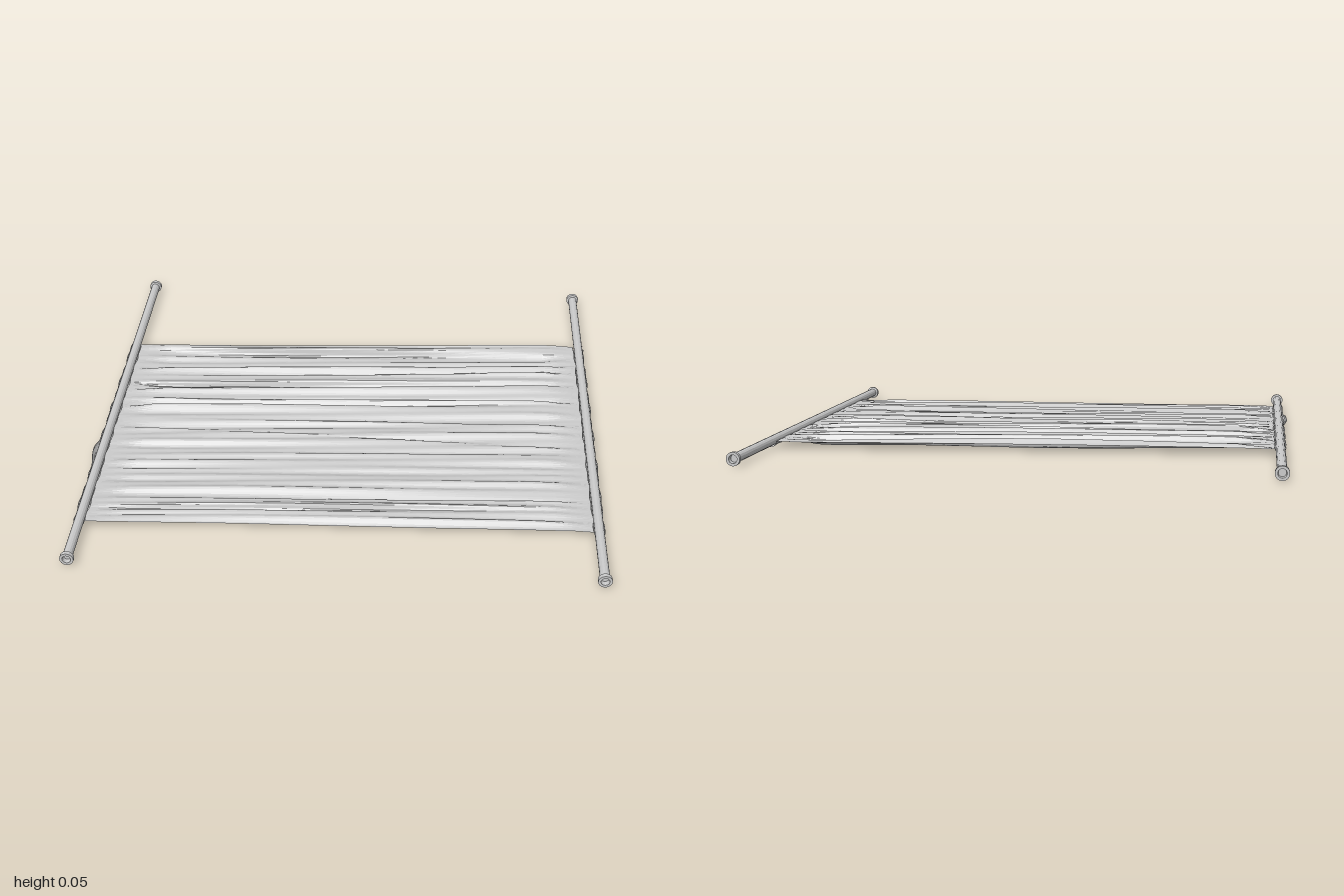
import * as THREE from 'three';

const POLE_Y = 0.055, LEFT_X = 0.967, RIGHT_X = -0.957;

// Each crease: position across the cloth at the -x end and the +x end, height, width
const CREASES = [
  [0.03, 0.06, -0.018, 0.016], [0.16, 0.13, 0.034, 0.016], [0.20, 0.172, 0.03, 0.014],
  [0.245, 0.23, -0.026, 0.013], [0.285, 0.25, 0.03, 0.014], [0.335, 0.35, 0.03, 0.013],
  [0.385, 0.365, 0.034, 0.014], [0.45, 0.48, 0.018, 0.016], [0.50, 0.605, 0.008, 0.02],
  [0.73, 0.735, 0.014, 0.016], [0.885, 0.865, 0.026, 0.013], [0.925, 0.91, -0.016, 0.014],
  [0.97, 0.965, 0.012, 0.014]
];

function pole(x, name) {
  // Rod with a collar and a recessed mouth at each end
  const half = [[0.018, 0], [0.018, 0.945], [0.026, 0.947], [0.026, 0.963], [0.016, 0.963], [0.014, 0.945], [0, 0.945]];
  const pts = half.slice(1).reverse().map(([r, y]) => new THREE.Vector2(r, -y))
    .concat(half.map(([r, y]) => new THREE.Vector2(r, y)));
  const geo = new THREE.LatheGeometry(pts, 14);
  const mesh = new THREE.Mesh(geo, new THREE.MeshStandardMaterial({ color: 0xcccccc, flatShading: true }));
  mesh.rotation.x = Math.PI / 2;
  mesh.position.set(x, POLE_Y, 0);
  mesh.name = name;
  return mesh;
}

// Outline of the two free edges of the cloth, as curves over x
function edgeCurve(points) {
  const curve = new THREE.SplineCurve(points.map(p => new THREE.Vector2(...p)));
  const samples = curve.getPoints(80);
  return x => {
    let i = 1;
    while (i < samples.length - 1 && samples[i].x < x) i++;
    const a = samples[i - 1], b = samples[i];
    return THREE.MathUtils.lerp(a.y, b.y, THREE.MathUtils.clamp((x - a.x) / (b.x - a.x), 0, 1));
  };
}
const backEdge = edgeCurve([[-1, -0.46], [-0.8, -0.462], [-0.4, -0.48], [0, -0.505], [0.4, -0.53], [0.8, -0.56], [1, -0.547]]);
const frontEdge = edgeCurve([[-1, 0.75], [-0.8, 0.74], [-0.4, 0.718], [0, 0.705], [0.4, 0.695], [0.8, 0.687], [1, 0.70]]);

// Height and sideways lap of the folds at x and fraction v across the cloth
function folds(x, v) {
  const t = (x + 1) / 2;
  const grip = THREE.MathUtils.smoothstep(0.945 - Math.abs(x), 0, 0.17);
  let y = 0.005 * Math.sin(v * 47 + t * 2) + 0.004 * Math.sin(v * 101 - t * 3) + 0.003 * Math.sin(v * 173 + t * 4);
  let lap = 0;
  CREASES.forEach(([a, b, h, w], i) => {
    const d = (v - THREE.MathUtils.lerp(a, b, t)) / w;
    const along = 0.65 + 0.35 * Math.sin(i * 2.3 + t * 4);
    const bell = Math.exp(-d * d);
    y += h * along * d * bell * 1.3;
    lap -= 0.6 * w * d * bell * along;
  });
  y -= 0.018 * Math.exp(-(((v - 0.1) / 0.035) ** 2)) * t;
  return { y: THREE.MathUtils.clamp(y, -0.046, 0.04) * grip, lap: lap * grip };
}

function cloth() {
  const across = 180, wrapSteps = 7, span = 28;
  // Path from one hem, over the span, to the other hem
  const path = [];
  for (let i = 0; i <= wrapSteps; i++) path.push({ pole: RIGHT_X, side: -1, angle: 3.6 - 3.6 * i / wrapSteps });
  for (let i = 1; i < span; i++) path.push({ x: THREE.MathUtils.lerp(RIGHT_X + 0.024, LEFT_X - 0.024, i / span) });
  for (let i = 0; i <= wrapSteps; i++) path.push({ pole: LEFT_X, side: 1, angle: 3.6 * i / wrapSteps });

  const pos = [], index = [];
  for (const p of path) {
    for (let j = 0; j <= across; j++) {
      const v = j / across;
      let x, y, lap = 0;
      if (p.pole !== undefined) {
        // Hem hugging the underside and outside of the pole
        let r = 0.0205 + 0.003 * Math.sin(v * 61 + p.side) * Math.sin(v * 23 + 2);
        if (p.side < 0) r += 0.018 * Math.exp(-(((v - 0.65) / 0.04) ** 2)) * Math.max(0, -Math.cos(p.angle));
        x = p.pole - p.side * r * Math.cos(p.angle);
        y = POLE_Y - r * Math.sin(p.angle);
      } else {
        const f = folds(p.x, v);
        x = p.x;
        y = POLE_Y + f.y;
        lap = f.lap;
      }
      pos.push(x, y, THREE.MathUtils.lerp(backEdge(x), frontEdge(x), v) + lap * 1.2);
    }
  }
  const row = across + 1;
  for (let i = 0; i < path.length - 1; i++) {
    for (let j = 0; j < across; j++) {
      const a = i * row + j, b = a + 1, c = a + row, d = c + 1;
      index.push(a, b, c, b, d, c);
    }
  }
  const geo = new THREE.BufferGeometry();
  geo.setAttribute('position', new THREE.Float32BufferAttribute(pos, 3));
  geo.setIndex(index);
  geo.computeVertexNormals();
  const mesh = new THREE.Mesh(geo, new THREE.MeshStandardMaterial({ color: 0xcccccc, flatShading: true, side: THREE.DoubleSide }));
  mesh.name = 'cloth';
  return mesh;
}

export function createModel() {
  const group = new THREE.Group();
  group.name = 'stretcher';
  group.add(pole(LEFT_X, 'leftPole'), pole(RIGHT_X, 'rightPole'), cloth());
  return group;
}
